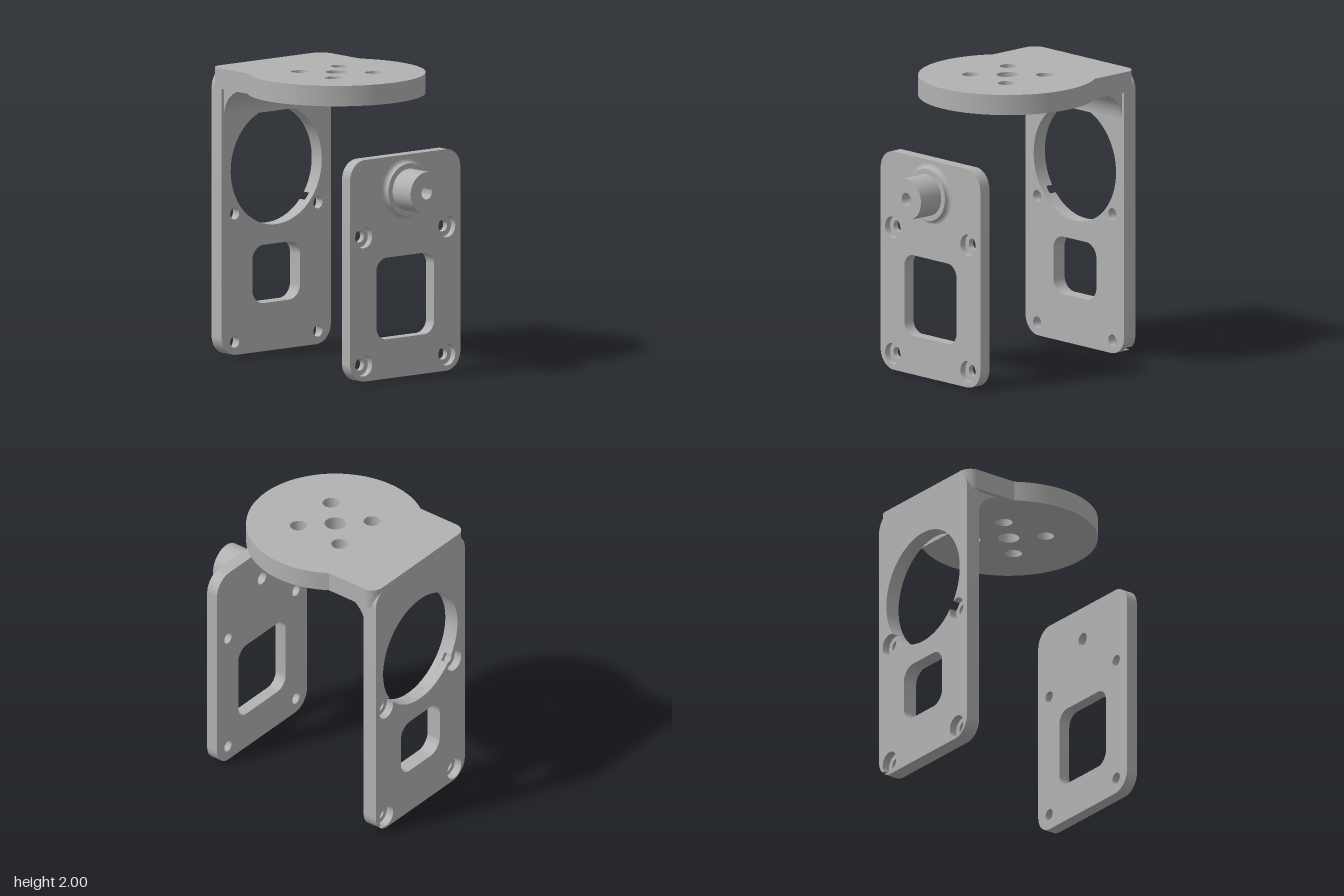
import * as THREE from 'three';
import { toCreasedNormals } from 'three/addons/utils/BufferGeometryUtils.js';

const PI = Math.PI;

function circle(x, y, r) {
  const p = new THREE.Path();
  p.absarc(x, y, r, 0, 2 * PI, false);
  return p;
}

// Rounded rectangle, counter-clockwise from the lower left corner
function roundedRect(path, x0, y0, x1, y1, r, lowerRight) {
  path.absarc(x0 + r, y0 + r, r, PI, 1.5 * PI, false);
  if (lowerRight) lowerRight(path, x1 - r, y0 + r, r);
  else path.absarc(x1 - r, y0 + r, r, -PI / 2, 0, false);
  path.absarc(x1 - r, y1 - r, r, 0, PI / 2, false);
  path.absarc(x0 + r, y1 - r, r, PI / 2, PI, false);
  path.closePath();
  return path;
}

function extrude(shape, depth) {
  const g = new THREE.ExtrudeGeometry(shape, { depth, bevelEnabled: false, curveSegments: 32 });
  return toCreasedNormals(g, 0.5);
}

export function createModel() {
  const model = new THREE.Group();
  model.name = 'jointBracket';
  const grey = new THREE.MeshStandardMaterial({ color: 0xb2b2b2 });
  grey.name = 'grey';

  const add = (parent, name, geometry) => {
    const m = new THREE.Mesh(geometry, grey);
    m.name = name;
    parent.add(m);
    return m;
  };
  const group = (name) => {
    const g = new THREE.Group();
    g.name = name;
    model.add(g);
    return g;
  };

  const screwX = 0.37, lowY = 0.11, highY = 0.99, axisY = 1.285;
  const screwR = 0.04, sinkR = 0.075;
  const screws = [-1, 1].flatMap((s) => [lowY, highY].map((y) => [s * screwX, y]));

  // Front plate: thin inner layer with screw holes, outer layer with counterbores
  const frontPlate = group('frontPlate');
  const frontLayer = (name, holeR, z0, z1) => {
    const s = roundedRect(new THREE.Shape(), -0.49, 0, 0.49, 1.52, 0.13);
    screws.forEach(([x, y]) => s.holes.push(circle(x, y, holeR)));
    s.holes.push(roundedRect(new THREE.Path(), -0.257, 0.27, 0.257, 0.83, 0.09));
    s.holes.push(circle(0, axisY, 0.045));
    add(frontPlate, name, extrude(s, z1 - z0)).position.z = z0;
  };
  frontLayer('frontPlateInner', screwR, 0.53, 0.57);
  frontLayer('frontPlateOuter', sinkR, 0.57, 0.615);

  // Hollow pivot boss with a filleted collar
  const profile = [];
  for (let i = 0; i <= 6; i++) {
    const a = (i / 6) * PI / 2;
    profile.push(new THREE.Vector2(0.21 - 0.03 * Math.sin(a), 0.03 * (1 - Math.cos(a))));
  }
  [[0.18, 0.036], [0.143, 0.036], [0.143, 0.225], [0.045, 0.225], [0.045, 0]]
    .forEach(([r, h]) => profile.push(new THREE.Vector2(r, h)));
  const boss = toCreasedNormals(new THREE.LatheGeometry(profile, 64).rotateX(PI / 2), 0.6);
  add(frontPlate, 'pivotBoss', boss).position.set(0, axisY, 0.615);

  // Back plate
  const backPlate = group('backPlate');
  const boreR = 0.405;
  const backWindow = () => roundedRect(new THREE.Path(), -0.212, 0.35, 0.212, 0.75, 0.1);

  const inner = roundedRect(new THREE.Shape(), -0.485, 0.02, 0.485, 1.99, 0.13);
  screws.forEach(([x, y]) => inner.holes.push(circle(x, y, screwR)));
  inner.holes.push(backWindow(), circle(0, axisY, boreR));
  add(backPlate, 'backPlateInner', extrude(inner, 0.05)).position.z = -0.785;

  // Outer layer: one lower counterbore breaks out through a small slot
  const slotted = (p, cx, cy, r) => {
    const at = (y, c, rad) => Math.asin((y - c) / rad);
    p.absarc(cx, cy, r, -PI / 2, at(0.04, cy, r), false);
    p.absarc(screwX, lowY, sinkR, at(0.04, lowY, sinkR), at(0.065, lowY, sinkR), true);
    p.absarc(cx, cy, r, at(0.065, cy, r), 0, false);
  };
  const outer = roundedRect(new THREE.Shape(), -0.485, 0.02, 0.485, 1.99, 0.13, slotted);
  outer.holes.push(backWindow(), circle(-screwX, lowY, sinkR));

  // Large bore, whose edge runs into the two upper counterbores
  const dy = axisY - highY, d = Math.hypot(screwX, dy), phi = Math.atan2(dy, screwX);
  const a = (boreR * boreR - sinkR * sinkR + d * d) / (2 * d);
  const big = Math.acos(a / boreR), small = Math.acos((d - a) / sinkR);
  const bore = new THREE.Path();
  bore.absarc(0, axisY, boreR, -phi + big, PI + phi - big, false);
  bore.absarc(-screwX, highY, sinkR, phi + small, phi - small + 2 * PI, false);
  bore.absarc(0, axisY, boreR, PI + phi + big, 2 * PI - phi - big, false);
  bore.absarc(screwX, highY, sinkR, PI - phi + small, 3 * PI - phi - small, false);
  bore.closePath();
  outer.holes.push(bore);
  add(backPlate, 'backPlateOuter', extrude(outer, 0.055)).position.z = -0.84;

  // Round top plate with a rectangular tail, drawn with -z as the shape's y
  const cz = 0.105, R = 0.605, tailX = 0.5, tailEnd = 0.84, cr = 0.085;
  const join = Math.acos(tailX / R);
  const top = new THREE.Shape();
  top.absarc(0, cz, R, PI - join, 2 * PI + join, false);
  top.absarc(tailX - cr, tailEnd - cr, cr, 0, PI / 2, false);
  top.absarc(-tailX + cr, tailEnd - cr, cr, PI / 2, PI, false);
  top.closePath();
  top.holes.push(circle(0, cz, 0.073));
  for (const sx of [-1, 1]) for (const sz of [-1, 1]) {
    top.holes.push(circle(sx * 0.177, cz + sz * 0.178, 0.058));
  }
  add(model, 'topPlate', extrude(top, 0.14).rotateX(-PI / 2)).position.y = 1.86;

  // Concave fillet between top plate and back plate
  const fillet = new THREE.Shape();
  fillet.moveTo(-0.735, 1.86);
  fillet.lineTo(-0.735, 1.66);
  fillet.absarc(-0.535, 1.66, 0.2, PI, PI / 2, true);
  fillet.closePath();
  add(model, 'cornerFillet', extrude(fillet, 0.93).rotateY(-PI / 2)).position.x = 0.465;

  return model;
}
